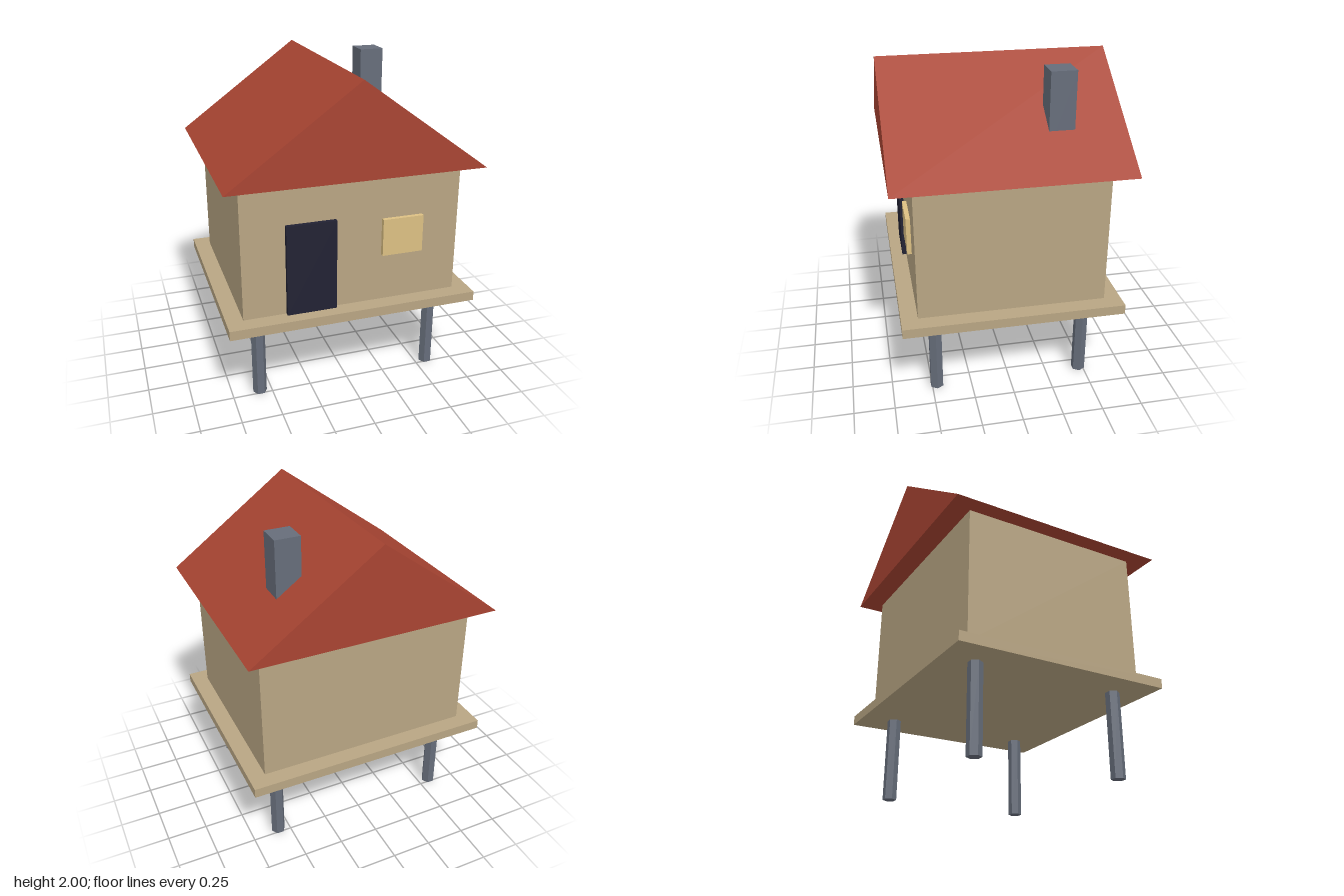
import * as THREE from 'three';

const mat = (color) => new THREE.MeshStandardMaterial({ color, flatShading: true });

export function createModel() {
  const group = new THREE.Group();
  group.name = 'stiltHouse';
  const wood = mat(0xb8a583), stone = mat(0x666d7a), tile = mat(0xa84432);
  const dark = mat(0x222233), glow = mat(0xdcc083);

  const add = (name, geometry, material, x = 0, y = 0, z = 0) => {
    const mesh = new THREE.Mesh(geometry, material);
    mesh.name = name;
    mesh.position.set(x, y, z);
    group.add(mesh);
    return mesh;
  };
  // Box given by its extents
  const box = (name, material, [x0, x1], [y0, y1], [z0, z1]) =>
    add(name, new THREE.BoxGeometry(x1 - x0, y1 - y0, z1 - z0), material,
      (x0 + x1) / 2, (y0 + y1) / 2, (z0 + z1) / 2);

  // Four hexagonal stilts, flat side to the front
  const stilt = new THREE.CylinderGeometry(0.044, 0.044, 0.53, 6).rotateY(Math.PI / 6);
  for (const [side, x] of [['left', 0.575], ['right', -0.575]])
    for (const [end, z] of [['Front', 0.47], ['Back', -0.47]])
      add(`${side}${end}Stilt`, stilt, stone, x, 0.265, z);

  // Platform and walls
  box('platform', wood, [-0.785, 0.785], [0.53, 0.59], [-0.68, 0.68]);
  box('walls', wood, [-0.682, 0.682], [0.59, 1.43], [-0.577, 0.577]);

  // Door and window, slightly proud of the front wall
  box('door', dark, [-0.417, -0.108], [0.59, 1.165], [0.56, 0.604]);
  box('window', glow, [0.183, 0.442], [0.895, 1.13], [0.56, 0.604]);

  // Solid gabled roof
  const gable = new THREE.Shape([
    new THREE.Vector2(-0.785, 1.43),
    new THREE.Vector2(0.785, 1.43),
    new THREE.Vector2(0, 2),
  ]);
  add('roof', new THREE.ExtrudeGeometry(gable, { depth: 1.416, bevelEnabled: false }), tile, 0, 0, -0.708);

  // Chimney through the left slope
  box('chimney', stone, [0.34, 0.495], [1.52, 1.99], [-0.395, -0.24]);

  return group;
}
